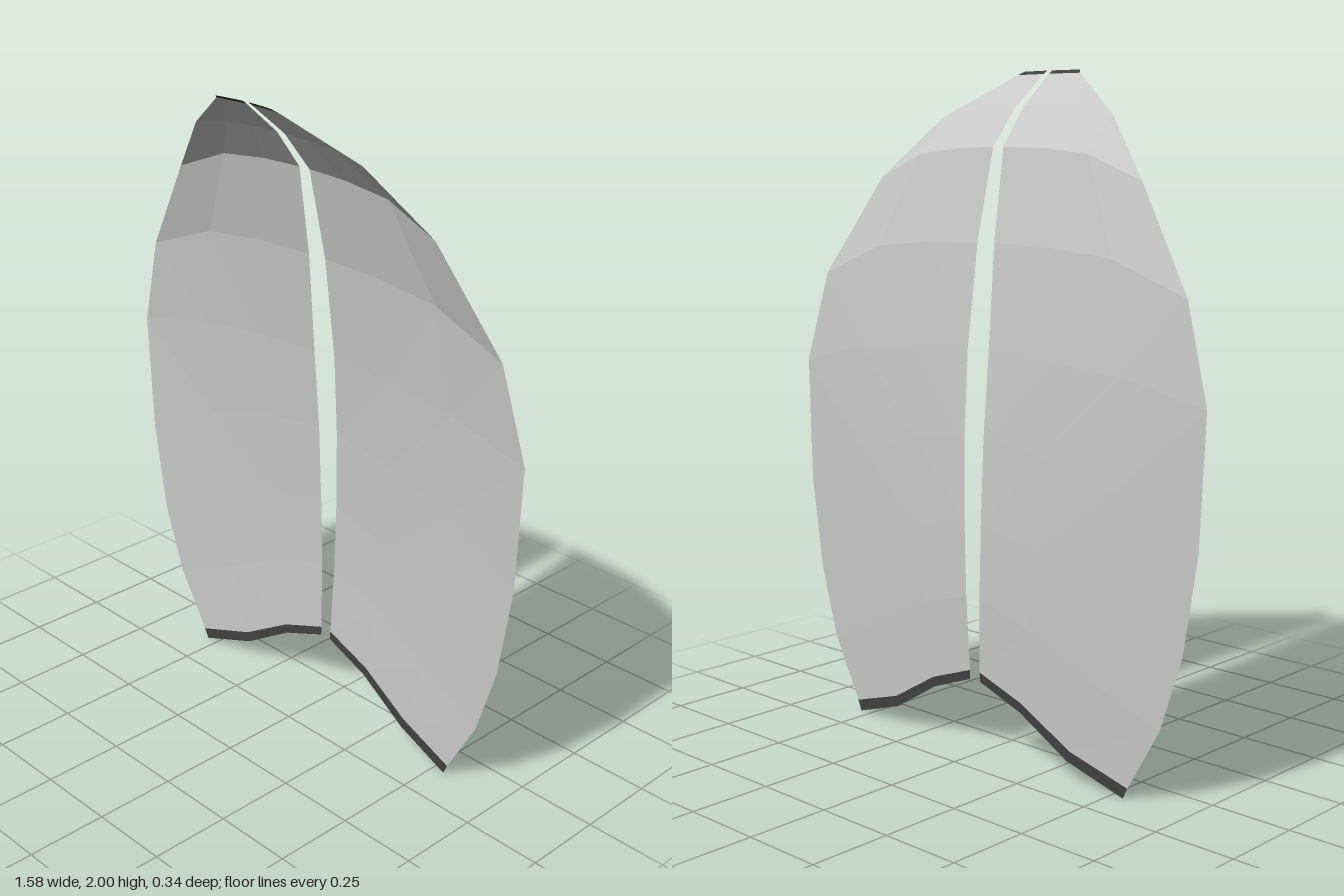
import * as THREE from 'three';

const cloth = new THREE.MeshStandardMaterial({ color: 0xc8c8c8, flatShading: true, side: THREE.DoubleSide });
cloth.name = 'pale grey';
const trim = new THREE.MeshStandardMaterial({ color: 0x404040, flatShading: true, side: THREE.DoubleSide });
trim.name = 'dark grey';

// Each row, top to bottom: inner edge x, y, z then outer edge x, y, z
const rows = [
  [0.01, 2.0, 0.157, 0.11, 2.0, 0.167],
  [0.01, 1.99, 0.144, 0.122, 1.99, 0.153],
  [0.015, 1.895, 0.03, 0.33, 1.87, 0.05],
  [0.02, 1.78, -0.06, 0.51, 1.69, -0.04],
  [0.033, 1.51, -0.112, 0.71, 1.39, -0.095],
  [0.042, 1.2, -0.145, 0.79, 1.11, -0.112],
  [0.038, 0.95, -0.163, 0.775, 0.73, -0.117],
  [0.033, 0.7, -0.17, 0.73, 0.44, -0.12],
  [0.027, 0.48, -0.17, 0.66, 0.22, -0.125],
  [0.02, 0.255, -0.163, 0.555, 0.032, -0.13],
  [0.02, 0.227, -0.162, 0.54, 0.0, -0.131],
];

// How far each column has moved from the inner edge to the outer edge
const across = [0, 0.3, 0.63, 1];
const depth = [0, 0.15, 0.45, 1];
const dropTop = [0, 0.04, 0.22, 1];
const dropHem = [0, 0.26, 0.72, 1];

// A strip of the panel between two rows
function strip(from, to, side, material, name) {
  const positions = [], index = [], n = across.length;
  for (let r = from; r <= to; r++) {
    const [xi, yi, zi, xo, yo, zo] = rows[r];
    const t = THREE.MathUtils.clamp((r - 4) / 5, 0, 1);
    for (let c = 0; c < n; c++) {
      const drop = THREE.MathUtils.lerp(dropTop[c], dropHem[c], t);
      positions.push(
        side * THREE.MathUtils.lerp(xi, xo, across[c]),
        THREE.MathUtils.lerp(yi, yo, drop),
        THREE.MathUtils.lerp(zi, zo, depth[c]));
    }
  }
  for (let r = 0; r < to - from; r++) {
    for (let c = 0; c < n - 1; c++) {
      const a = r * n + c, b = a + 1, d = a + n, e = d + 1;
      if (side > 0) index.push(a, d, b, b, d, e);
      else index.push(a, b, d, b, e, d);
    }
  }
  const geometry = new THREE.BufferGeometry();
  geometry.setAttribute('position', new THREE.Float32BufferAttribute(positions, 3));
  geometry.setIndex(index);
  geometry.computeVertexNormals();
  const mesh = new THREE.Mesh(geometry, material);
  mesh.name = name;
  return mesh;
}

export function createModel() {
  const model = new THREE.Group();
  model.name = 'splitCape';
  const last = rows.length - 1;
  for (const side of [1, -1]) {
    const half = new THREE.Group();
    half.name = side > 0 ? 'leftPanel' : 'rightPanel';
    half.add(
      strip(0, 1, side, trim, 'topTrim'),
      strip(1, last - 1, side, cloth, 'panel'),
      strip(last - 1, last, side, trim, 'hemTrim'));
    model.add(half);
  }
  return model;
}
